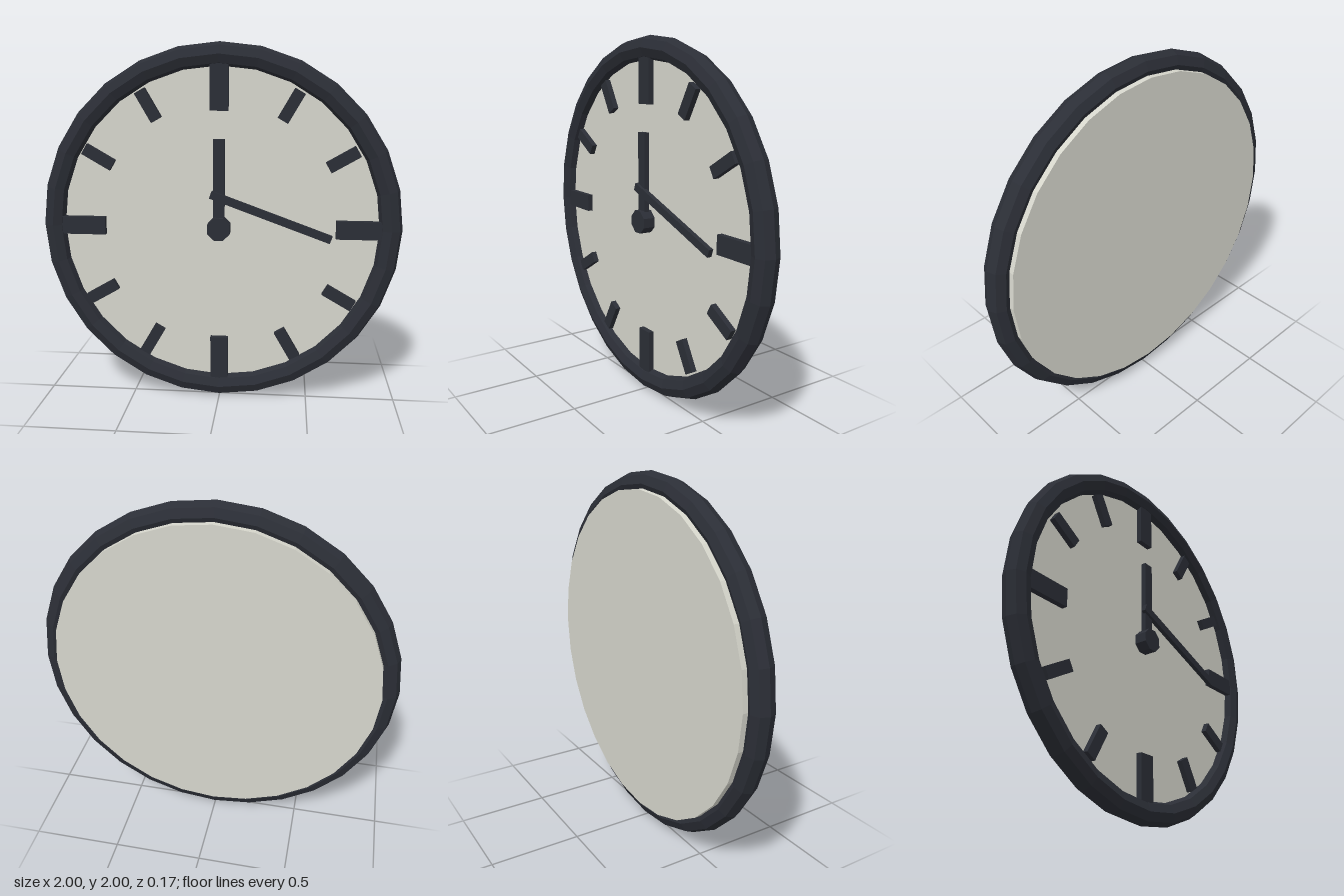
import * as THREE from 'three';

const dark = new THREE.MeshStandardMaterial({ color: 0x2b2e36, flatShading: true });
const pale = new THREE.MeshStandardMaterial({ color: 0xd6d6cc, flatShading: true });

function add(parent, name, geometry, material) {
  const mesh = new THREE.Mesh(geometry, material);
  mesh.name = name;
  parent.add(mesh);
  return mesh;
}

// Cylinder lying along z between two depths
function disc(radius, back, front, sides) {
  return new THREE.CylinderGeometry(radius, radius, front - back, sides)
    .rotateX(Math.PI / 2)
    .translate(0, 0, (back + front) / 2);
}

// Upright bar between two heights and two depths
function bar(width, bottom, top, back, front) {
  return new THREE.BoxGeometry(width, top - bottom, front - back)
    .translate(0, (bottom + top) / 2, (back + front) / 2);
}

export function createModel() {
  const clock = new THREE.Group();
  clock.name = 'wallClock';

  // Dial centre sits one unit above the ground
  const body = new THREE.Group();
  body.name = 'clockBody';
  body.position.y = 1;
  clock.add(body);

  // Faceted rim and the dial plate that shows slightly behind it
  add(body, 'rim', new THREE.TorusGeometry(0.935, 0.065, 8, 28), dark);
  add(body, 'dial', disc(0.91, -0.085, 0.012, 28), pale);

  // Twelve hour marks, larger at the quarters
  const marks = new THREE.Group();
  marks.name = 'hourMarks';
  body.add(marks);
  for (let i = 0; i < 12; i++) {
    const quarter = i % 3 === 0;
    const geometry = quarter
      ? bar(0.1, 0.64, 0.9, 0, 0.043)
      : bar(0.064, 0.68, 0.86, 0, 0.043);
    const mark = add(marks, quarter ? 'quarterMark' : 'hourMark', geometry, dark);
    mark.rotation.z = -i * Math.PI / 6;
  }

  // Hands
  add(body, 'hourHand', bar(0.062, 0, 0.49, 0.03, 0.058), dark);
  const minuteHand = add(body, 'minuteHand', new THREE.BoxGeometry(0.7, 0.043, 0.026), dark);
  minuteHand.position.set(0.284, 0.071, 0.06);
  minuteHand.rotation.z = THREE.MathUtils.degToRad(-20);

  // Octagonal hub with a flat side up
  const hub = add(body, 'hub', disc(0.067, 0, 0.083, 8), dark);
  hub.rotation.z = Math.PI / 8;

  return clock;
}
